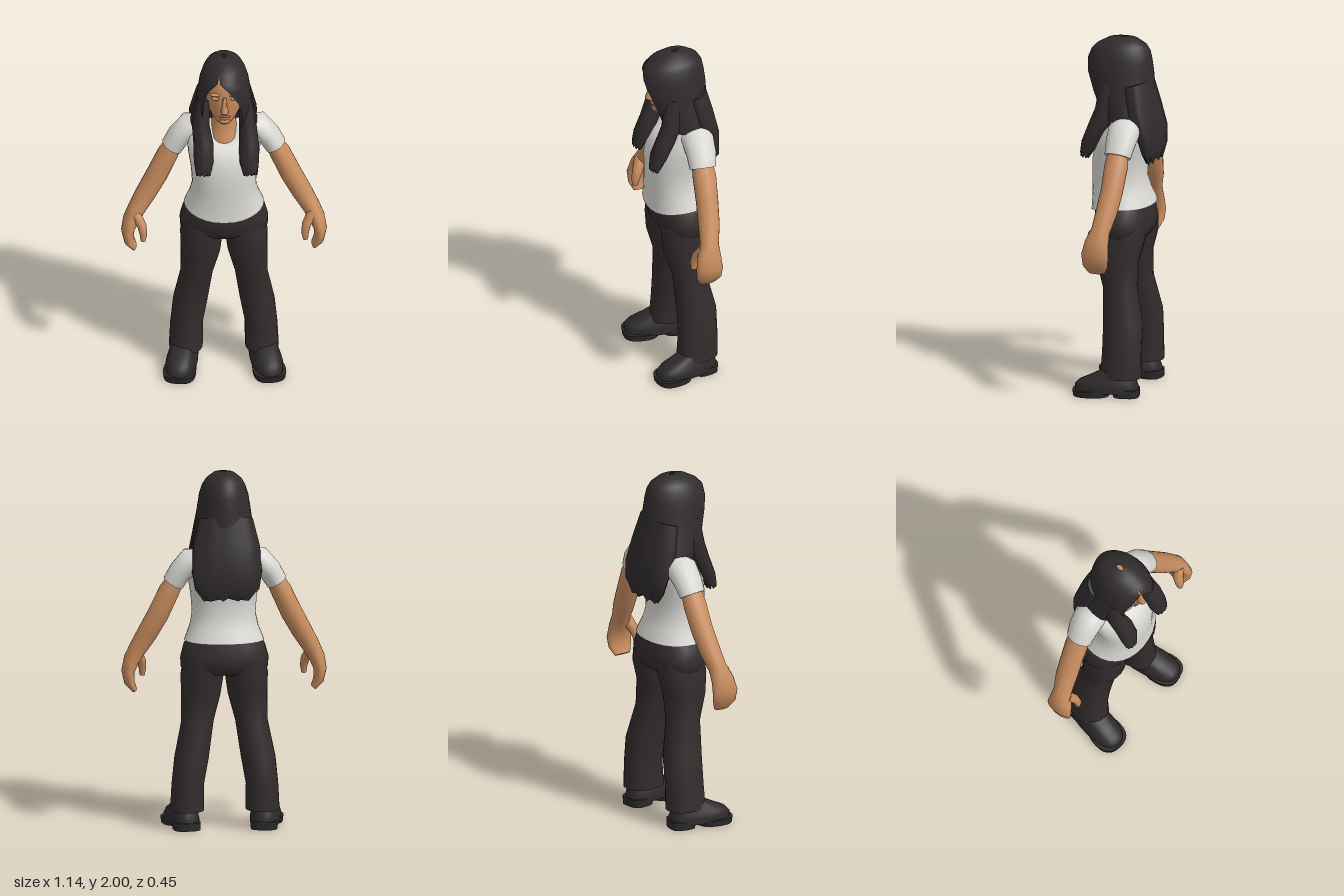
import * as THREE from 'three';
import { toCreasedNormals } from 'three/addons/utils/BufferGeometryUtils.js';

const std = (name, color, side = THREE.FrontSide) => {
  const m = new THREE.MeshStandardMaterial({ color, side });
  m.name = name;
  return m;
};

// Builds a geometry from rows of points; rows wrap round when closed, and get end caps
function skin(rows, closed) {
  const n = rows[0].length, pts = rows.flat(), idx = [];
  for (let i = 0; i < rows.length - 1; i++) {
    for (let j = 0; j < (closed ? n : n - 1); j++) {
      const k = (j + 1) % n, a = i * n + j, b = i * n + k;
      idx.push(a, a + n, b, b, a + n, b + n);
    }
  }
  if (closed) {
    [0, rows.length - 1].forEach((r, end) => {
      const c = pts.length;
      pts.push(rows[r].reduce((s, p) => s.add(p), new THREE.Vector3()).divideScalar(n));
      for (let j = 0; j < n; j++) {
        const a = r * n + j, b = r * n + (j + 1) % n;
        if (end) idx.push(c, b, a); else idx.push(c, a, b);
      }
    });
  }
  const g = new THREE.BufferGeometry().setFromPoints(pts);
  g.setIndex(idx);
  return toCreasedNormals(g, 1.0);
}

// Rings are [x, y, z, halfWidth, halfDepth, frontDrop]; flat rings stay level, others follow the path
function loft(rings, { flat = false, seg = 20, power = 2, ripple = 0, jag = 0 } = {}) {
  const c = rings.map(r => new THREE.Vector3(r[0], r[1], r[2]));
  const bend = v => Math.sign(v) * Math.abs(v) ** (2 / power);
  const rows = rings.map((r, i) => {
    const t = new THREE.Vector3(0, 1, 0);
    if (!flat) t.subVectors(c[Math.min(i + 1, c.length - 1)], c[Math.max(i - 1, 0)]).normalize();
    const u = new THREE.Vector3().crossVectors(t, new THREE.Vector3(0, 0, 1)).normalize();
    const v = new THREE.Vector3().crossVectors(u, t);
    return Array.from({ length: seg }, (_, j) => {
      const a = j / seg * Math.PI * 2, w = 1 + ripple * Math.cos(a * 9);
      const p = c[i].clone().addScaledVector(u, r[3] * w * bend(Math.cos(a)));
      p.addScaledVector(v, r[4] * w * bend(Math.sin(a)));
      p.y -= (r[5] || 0) * Math.max(0, Math.sin(a)) ** 2;
      if (i === rings.length - 1) p.y += jag * Math.cos(a * 9);
      return p;
    });
  });
  return skin(rows, true);
}

// Hair shell rows [y, rx, rz, cz, rightEdgeX, leftEdgeX], open over the face between the edges
function hairShell(rows, seg = 32) {
  return skin(rows.map(([y, rx, rz, cz, xr, xl]) => {
    const start = Math.asin(xl / rx), end = Math.PI * 2 + Math.asin(xr / rx);
    return Array.from({ length: seg + 1 }, (_, j) => {
      const a = start + (end - start) * j / seg;
      return new THREE.Vector3(rx * Math.sin(a), y, cz + rz * Math.cos(a));
    });
  }), false);
}

export function createModel() {
  const model = new THREE.Group();
  const skinMat = std('skin', 0xc98d5f), lipMat = std('lips', 0xb87a52);
  const hairMat = std('hair', 0x302b2d, THREE.DoubleSide);
  const shirtMat = std('shirt', 0xd9d8d3), pantsMat = std('trousers', 0x332c2d);
  const shoeMat = std('shoes', 0x2d292a);
  const add = (name, geo, mat, parent = model) => {
    const m = new THREE.Mesh(geo, mat);
    m.name = name;
    parent.add(m);
    return m;
  };
  const lump = (name, mat, pos, size) => {
    const m = add(name, new THREE.SphereGeometry(1, 14, 10), mat);
    m.position.set(...pos);
    m.scale.set(...size);
  };

  // Head and neck
  add('head', loft([
    [0, 1.628, 0.1, 0.03, 0.03], [0, 1.65, 0.075, 0.058, 0.068], [0, 1.7, 0.05, 0.088, 0.098],
    [0, 1.77, 0.035, 0.104, 0.117], [0, 1.85, 0.03, 0.11, 0.128], [0, 1.92, 0.03, 0.085, 0.11],
    [0, 1.96, 0.02, 0.04, 0.06]], { flat: true, seg: 24 }), skinMat);
  add('neck', loft([[0, 1.42, 0, 0.1, 0.1], [0, 1.5, -0.005, 0.09, 0.088],
    [0, 1.57, -0.01, 0.068, 0.065], [0, 1.7, 0.015, 0.06, 0.06]], { flat: true }), skinMat);
  add('nose', loft([[0, 1.71, 0.15, 0.018, 0.02], [0, 1.725, 0.156, 0.023, 0.032],
    [0, 1.76, 0.153, 0.014, 0.024], [0, 1.815, 0.15, 0.01, 0.012]], { flat: true, seg: 12 }), skinMat);
  lump('mouth', lipMat, [0, 1.687, 0.14], [0.032, 0.008, 0.014]);
  lump('chin', skinMat, [0, 1.652, 0.128], [0.034, 0.02, 0.02]);
  for (const s of [1, -1]) {
    lump('brow', skinMat, [s * 0.046, 1.826, 0.14], [0.036, 0.01, 0.016]);
    lump('eyelid', skinMat, [s * 0.046, 1.8, 0.134], [0.026, 0.012, 0.016]);
  }

  // Hair: cap with side parting, back fall and two front locks
  add('hairCap', hairShell([
    [2.0, 0.012, 0.02, 0.01, 0, 0], [1.988, 0.062, 0.085, 0.012, -0.02, -0.02],
    [1.955, 0.1, 0.14, 0.018, -0.03, -0.03], [1.92, 0.12, 0.168, 0.025, -0.04, -0.025],
    [1.87, 0.136, 0.183, 0.03, -0.085, 0.03], [1.8, 0.147, 0.19, 0.028, -0.112, 0.075],
    [1.7, 0.16, 0.18, 0.012, -0.12, 0.1], [1.62, 0.178, 0.165, -0.015, -0.115, 0.095],
    [1.55, 0.188, 0.16, -0.035, -0.11, 0.09]]), hairMat);
  add('hairBack', loft([
    [0, 1.32, -0.172, 0.13, 0.03], [0, 1.37, -0.168, 0.178, 0.048], [0, 1.46, -0.155, 0.193, 0.068],
    [0, 1.6, -0.105, 0.186, 0.088], [0, 1.75, -0.07, 0.15, 0.085]].reverse(),
    { seg: 36, ripple: 0.018, jag: 0.016 }), hairMat);
  for (const s of [1, -1]) {
    const shift = s > 0 ? 0.012 : 0.01;
    add('frontLock', loft([
      [s * 0.115, 1.76, 0.06, 0.035, 0.05], [s * 0.13, 1.6, 0.08, 0.048, 0.055],
      [s * 0.125 + shift, 1.5, 0.125, 0.055, 0.05], [s * 0.125 + shift, 1.41, 0.165, 0.054, 0.045],
      [s * 0.13 + shift, 1.34, 0.19, 0.04, 0.025]], { seg: 27, ripple: 0.03, jag: 0.014 }), hairMat);
  }

  // Shirt body with scooped neckline and dipped hem
  add('shirt', loft([
    [0, 1.055, 0.005, 0.222, 0.174, 0.04], [0, 1.08, 0.008, 0.212, 0.169, 0.03],
    [0, 1.13, 0.018, 0.192, 0.157], [0, 1.2, 0.03, 0.177, 0.148], [0, 1.3, 0.028, 0.184, 0.15],
    [0, 1.4, 0.01, 0.2, 0.152], [0, 1.5, -0.02, 0.205, 0.137, 0.04],
    [0, 1.555, -0.03, 0.165, 0.112, 0.075], [0, 1.58, -0.025, 0.1, 0.09, 0.095]],
    { flat: true, seg: 28, power: 2.2 }), shirtMat);

  // Hips
  add('hips', loft([
    [0, 0.875, -0.01, 0.22, 0.125], [0, 0.91, -0.01, 0.243, 0.15], [0, 0.96, -0.01, 0.245, 0.16],
    [0, 1.03, 0, 0.226, 0.157], [0, 1.07, 0, 0.2, 0.15]],
    { flat: true, seg: 28, power: 2.3 }), pantsMat);

  for (const s of [1, -1]) {
    const side = s > 0 ? 'left' : 'right';
    const flip = rings => rings.map(([x, ...r]) => [x * s, ...r]);

    // Sleeve, arm and hand
    add(side + 'Sleeve', loft(flip([
      [0.1, 1.515, -0.05, 0.06, 0.085], [0.195, 1.505, -0.052, 0.078, 0.09],
      [0.25, 1.45, -0.05, 0.064, 0.084], [0.288, 1.385, -0.045, 0.06, 0.075]])), shirtMat);
    add(side + 'Arm', loft(flip([
      [0.26, 1.43, -0.045, 0.045, 0.055], [0.31, 1.34, -0.045, 0.058, 0.066],
      [0.37, 1.21, -0.038, 0.06, 0.062], [0.43, 1.1, -0.025, 0.057, 0.06],
      [0.482, 1.01, -0.008, 0.05, 0.052], [0.515, 0.945, 0.005, 0.044, 0.068],
      [0.533, 0.88, 0.01, 0.036, 0.078], [0.525, 0.82, 0.01, 0.029, 0.072],
      [0.497, 0.775, 0.01, 0.016, 0.05]])), skinMat);
    add(side + 'Thumb', loft(flip([
      [0.49, 0.99, 0.025, 0.03, 0.035], [0.455, 0.93, 0.055, 0.026, 0.03],
      [0.447, 0.885, 0.07, 0.021, 0.024], [0.449, 0.845, 0.072, 0.014, 0.016]]), { seg: 12 }), skinMat);

    // Trouser leg
    add(side + 'Leg', loft(flip([
      [0.21, 0.105, -0.04, 0.094, 0.115], [0.206, 0.25, -0.045, 0.09, 0.11],
      [0.185, 0.4, -0.045, 0.096, 0.11], [0.15, 0.6, -0.018, 0.09, 0.094],
      [0.13, 0.75, 0.003, 0.11, 0.118], [0.122, 0.87, -0.008, 0.12, 0.14],
      [0.115, 0.95, -0.01, 0.11, 0.14]]), { flat: true, power: 2.2 }), pantsMat);

    // Shoe turned outwards: upper, front sole and heel
    const shoe = new THREE.Group();
    shoe.name = side + 'Shoe';
    shoe.position.x = s * 0.228;
    shoe.rotation.y = s * 0.16;
    model.add(shoe);
    add('upper', loft([
      [0, 0.025, 0.035, 0.085, 0.178], [0, 0.06, 0.035, 0.085, 0.178], [0, 0.085, 0.028, 0.078, 0.162],
      [0, 0.115, 0, 0.066, 0.125], [0, 0.15, -0.03, 0.058, 0.085]],
      { flat: true, seg: 24, power: 2.5 }), shoeMat, shoe);
    add('sole', loft([[0, 0, 0.12, 0.088, 0.1], [0, 0.035, 0.12, 0.092, 0.105]],
      { flat: true, seg: 24, power: 2.6 }), shoeMat, shoe);
    add('heel', loft([[0, 0, -0.075, 0.074, 0.072], [0, 0.045, -0.075, 0.076, 0.074]],
      { flat: true, seg: 24, power: 3 }), shoeMat, shoe);
  }
  return model;
}
